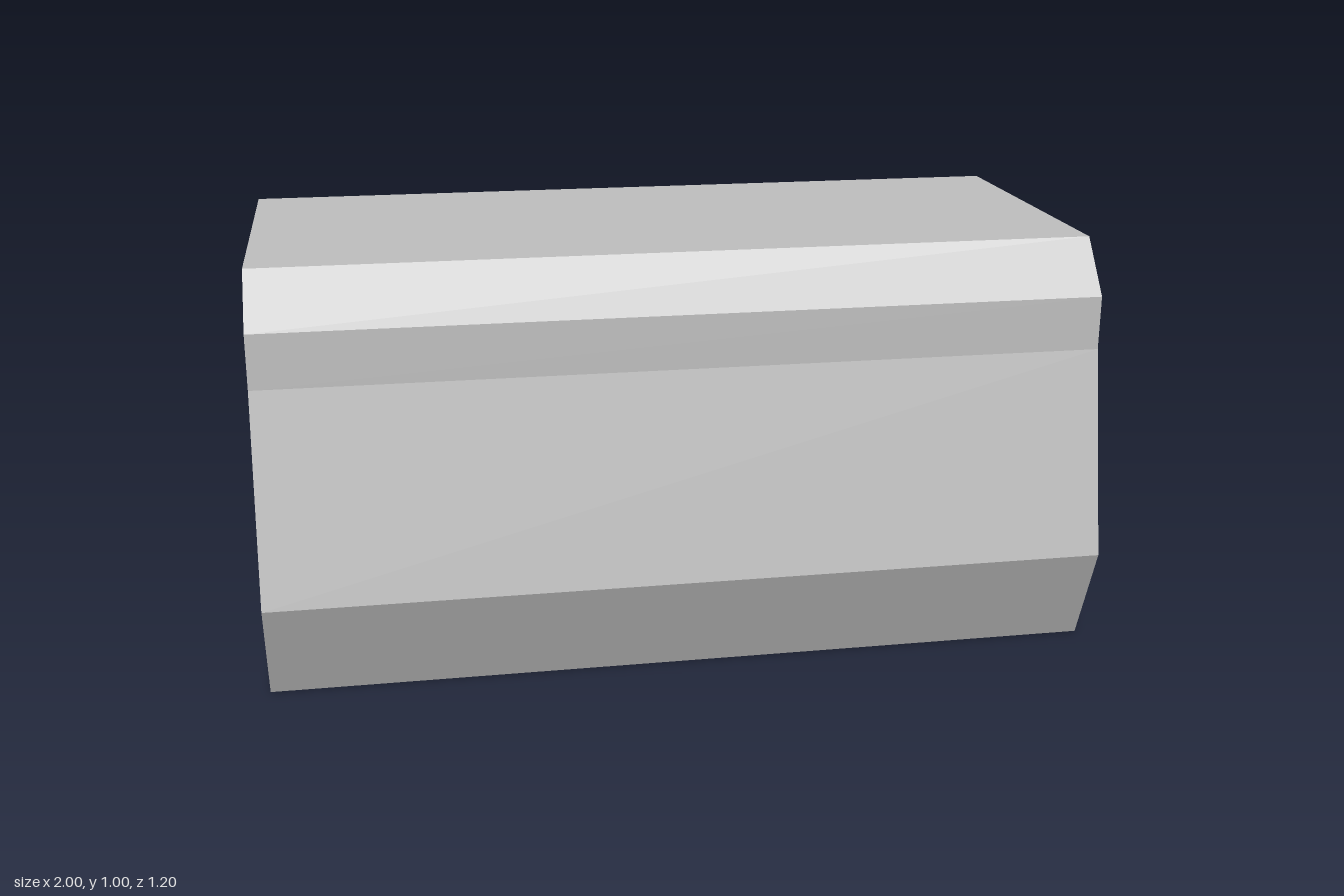
import * as THREE from 'three';

// Half profiles as [z, y], floor to ceiling
const OUTER = [[0.5, 0], [0.6, 0.25], [0.5, 0.745], [0.5, 0.875], [0.4, 1]];
const INNER = [[0.475, 0.04], [0.557, 0.258], [0.465, 0.74], [0.465, 0.857], [0.385, 0.957]];
const CEILING = 0.957;

const ring = (half) => [...half, ...half.map(([z, y]) => [-z, y]).reverse()]
  .map(([z, y]) => new THREE.Vector2(z, y));

export function createModel() {
  const model = new THREE.Group();
  model.name = 'corridor';
  const grey = new THREE.MeshStandardMaterial({ color: 0xc0c0c0 });
  grey.name = 'grey metal';

  function add(parent, name, geometry, x = 0, y = 0, z = 0) {
    const mesh = new THREE.Mesh(geometry, grey);
    mesh.name = name;
    mesh.position.set(x, y, z);
    parent.add(mesh);
    return mesh;
  }
  const box = (parent, name, w, h, d, x, y, z) =>
    add(parent, name, new THREE.BoxGeometry(w, h, d), x, y, z);

  // Extrudes a cross-section along x, from x0 to x1
  function alongX(shape, x0, x1) {
    const g = new THREE.ExtrudeGeometry(shape, { depth: x1 - x0, bevelEnabled: false });
    return g.rotateY(Math.PI / 2).translate(x0, 0, 0);
  }

  // Hollow hull
  const section = new THREE.Shape(ring(OUTER));
  section.holes.push(new THREE.Path(ring(INNER)));
  add(model, 'hull', alongX(section, -1, 1));

  // A group lying on one inner wall segment: x along, y up the wall, z inward
  function wallGroup(side, name, i) {
    const turn = new THREE.Group();
    turn.name = name;
    turn.rotation.y = side > 0 ? Math.PI : 0;
    const wall = new THREE.Group();
    const [a, b] = [INNER[i], INNER[i + 1]];
    wall.position.set(0, a[1], -a[0]);
    wall.rotation.x = Math.atan2(a[0] - b[0], b[1] - a[1]);
    turn.add(wall);
    model.add(turn);
    return wall;
  }

  // Thin strip between two points of a wall
  function strip(wall, name, x0, y0, x1, y1, width = 0.008, depth = 0.005) {
    const m = box(wall, name, Math.hypot(x1 - x0, y1 - y0), width, depth,
      (x0 + x1) / 2, (y0 + y1) / 2, depth / 2);
    m.rotation.z = Math.atan2(y1 - y0, x1 - x0);
  }

  // Raised outline around a rectangle
  function frame(wall, name, x0, y0, x1, y1) {
    strip(wall, name, x0, y0, x1, y0);
    strip(wall, name, x0, y1, x1, y1);
    strip(wall, name, x0, y0, x0, y1);
    strip(wall, name, x1, y0, x1, y1);
  }

  // Dashed row of rivets
  function rivets(wall, x0, y0, x1, y1, count) {
    for (let i = 0; i < count; i++) {
      const t = i / (count - 1);
      box(wall, 'rivet', 0.006, 0.006, 0.003,
        x0 + (x1 - x0) * t, y0 + (y1 - y0) * t, 0.0015);
    }
  }

  for (const side of [-1, 1]) {
    const wall = wallGroup(side, 'upperWall', 1);
    for (const x of [-0.75, -0.25, 0.25, 0.75]) {
      // Panel with slanted ribs and rivet rows in each bay
      for (const s of [-1, 1]) {
        strip(wall, 'slantedRib', x + s * 0.21, 0.05, x + s * 0.15, 0.36);
        strip(wall, 'ribHead', x + s * 0.15, 0.36, x + s * 0.17, 0.45);
        rivets(wall, x + s * 0.06, 0.03, x + s * 0.06, 0.46, 22);
      }
      rivets(wall, x - 0.14, 0.24, x + 0.14, 0.24, 15);
    }
    const band = wallGroup(side, 'upperBand', 2);
    for (const x of [-0.5, 0, 0.5]) {
      strip(wall, 'seam', x, 0, x, 0.49, 0.008, 0.003);
      strip(band, 'seam', x, 0, x, 0.115, 0.008, 0.003);
    }
    if (side < 0) {
      // Wall hatch and raised lower panels on the back wall only
      frame(wall, 'hatchFrame', 0.79, 0.31, 0.95, 0.45);
      const low = wallGroup(side, 'lowerWall', 0);
      for (const x of [-0.75, -0.25, 0.25, 0.75]) {
        frame(low, 'lowerPanel', x - 0.22, 0.035, x + 0.22, 0.2);
        rivets(low, x - 0.2, 0.018, x + 0.2, 0.018, 18);
        rivets(low, x - 0.2, 0.218, x + 0.2, 0.218, 18);
      }
    }
  }

  // Ceiling frames on each side of the conduit
  for (const s of [-1, 1]) {
    for (const z of [0.05, 0.355])
      box(model, 'ceilingRail', 1.98, 0.006, 0.014, 0, CEILING - 0.003, s * z);
    for (let i = 0; i <= 8; i++)
      box(model, 'ceilingRib', 0.014, 0.006, 0.305,
        -0.98 + i * 0.245, CEILING - 0.003, s * 0.2025);
  }

  // Conduit under the ceiling with clamps
  const pipe = new THREE.CylinderGeometry(0.022, 0.022, 1.98, 16).rotateZ(Math.PI / 2);
  add(model, 'conduit', pipe, 0, CEILING, 0).scale.y = 0.95;
  const clamp = new THREE.Shape([[-0.036, 0.958], [-0.018, 0.931], [0.018, 0.931], [0.036, 0.958]]
    .map(([z, y]) => new THREE.Vector2(z, y)));
  for (const x of [-0.8, -0.4, 0, 0.4, 0.8])
    add(model, 'conduitClamp', alongX(clamp, x - 0.03, x + 0.03));

  // Overhead locker in the front upper corner
  const locker = new THREE.Shape(
    [[-0.466, 0.858], [-0.42, 0.866], [-0.389, 0.907], [-0.389, 0.953]]
      .map(([z, y]) => new THREE.Vector2(z, y)));
  add(model, 'overheadLocker', alongX(locker, -0.95, -0.4));

  return model;
}
